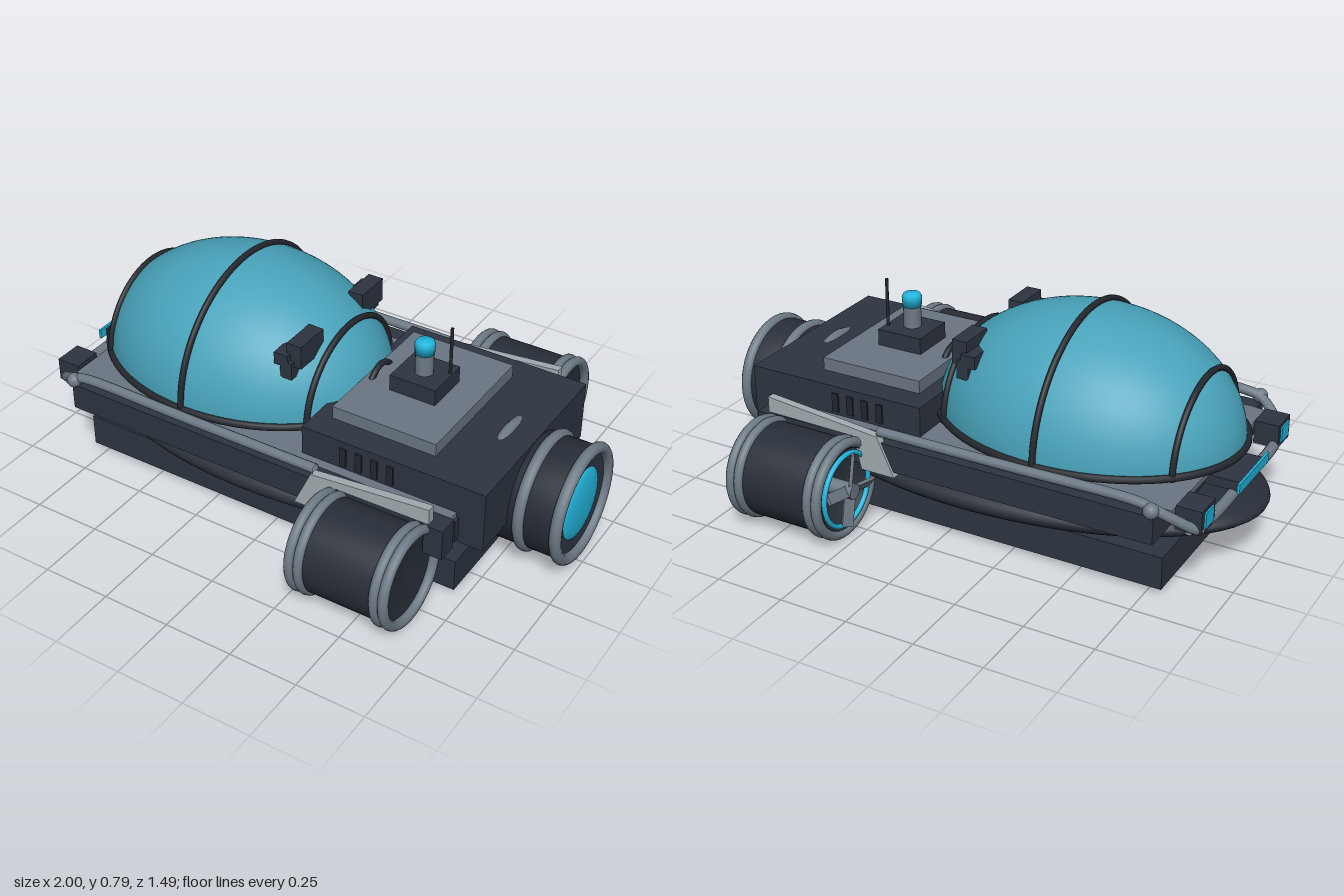
import * as THREE from 'three';

const mat = (name, color) => {
  const m = new THREE.MeshStandardMaterial({ color, side: THREE.DoubleSide });
  m.name = name;
  return m;
};

export function createModel() {
  const root = new THREE.Group();
  const dark = mat('slate', 0x2d3541);
  const hullMat = mat('hull charcoal', 0x282e38);
  const rib = mat('rib black', 0x23272d);
  const grey = mat('plate grey', 0x6a7683);
  const pipe = mat('pipe grey', 0x6d7a85);
  const light = mat('bracket light grey', 0xa3adb1);
  const cyan = mat('lamp cyan', 0x22b5dc);
  const glass = mat('dome teal', 0x48a2ba);

  const add = (name, geo, m, x = 0, y = 0, z = 0, parent = root) => {
    const mesh = new THREE.Mesh(geo, m);
    mesh.name = name;
    mesh.position.set(x, y, z);
    parent.add(mesh);
    return mesh;
  };
  // Box given by its limits on each axis
  const box = (name, m, x0, x1, y0, y1, z0, z1, parent = root) =>
    add(name, new THREE.BoxGeometry(x1 - x0, y1 - y0, Math.abs(z1 - z0)), m,
      (x0 + x1) / 2, (y0 + y1) / 2, (z0 + z1) / 2, parent);
  const tube = (name, m, pts, r, closed = false, seg = 64) =>
    add(name, new THREE.TubeGeometry(new THREE.CatmullRomCurve3(
      pts.map(p => new THREE.Vector3(...p)), closed, 'centripetal'), seg, r, 10, closed), m);
  // Ring and turned body around the x axis
  const ring = (name, m, x, r, t, parent) =>
    add(name, new THREE.TorusGeometry(r, t, 12, 48).rotateY(Math.PI / 2), m, x, 0, 0, parent);
  const turned = (name, m, pts, parent) =>
    add(name, new THREE.LatheGeometry(pts.map(([r, x]) => new THREE.Vector2(r, x)), 48)
      .rotateZ(-Math.PI / 2), m, 0, 0, 0, parent);

  // Hull, keel and deck
  add('hull', new THREE.SphereGeometry(1, 64, 32).scale(0.91, 0.105, 0.47), hullMat, -0.09, 0.19, 0);
  box('keel', dark, -0.8, 0.71, 0.02, 0.14, -0.375, 0.375);
  box('deckBase', dark, -0.8, 0.71, 0.235, 0.32, -0.39, 0.39);
  box('deckPlate', grey, -0.835, 0.7, 0.318, 0.337, -0.4, 0.4);

  // Dome with base ring and hoops
  const cx = -0.35, base = 0.362, rx = 0.55, ry = 0.413, rz = 0.418;
  add('dome', new THREE.SphereGeometry(1, 64, 24, 0, Math.PI * 2, 0, Math.PI / 2)
    .scale(rx, ry, rz), glass, cx, base, 0);
  const loop = [];
  for (let i = 0; i < 32; i++) {
    const a = i / 32 * Math.PI * 2;
    loop.push([cx + (rx + 0.004) * Math.cos(a), base + 0.012, (rz + 0.004) * Math.sin(a)]);
  }
  tube('domeBaseRing', rib, loop, 0.013, true, 96);
  const hoop = (x, h, w) => {
    const pts = [];
    for (let i = 0; i <= 20; i++) {
      const a = i / 20 * Math.PI;
      pts.push([x, base + h * Math.sin(a), w * Math.cos(a)]);
    }
    tube('domeHoop', rib, pts, 0.011);
  };
  for (const x of [-0.775, -0.35, 0.07]) {
    const k = Math.sqrt(1 - ((x - cx) / rx) ** 2);
    hoop(x, ry * k + 0.006, rz * k + 0.006);
  }
  hoop(0.195, 0.155, 0.1);

  // Rear cabin, roof plate and beacon
  box('cabin', dark, 0.11, 0.8, 0.22, 0.445, -0.365, 0.365);
  box('roofPlate', grey, 0.17, 0.565, 0.445, 0.492, -0.27, 0.27);
  box('beaconBase', dark, 0.28, 0.455, 0.49, 0.552, -0.085, 0.085);
  add('beaconStem', new THREE.CylinderGeometry(0.032, 0.032, 0.09, 24), pipe, 0.367, 0.59, 0.005);
  add('beaconLamp', new THREE.LatheGeometry([[0, 0], [0.034, 0], [0.036, 0.035], [0.03, 0.046], [0, 0.052]]
    .map(p => new THREE.Vector2(...p)), 24), cyan, 0.367, 0.63, 0.005);
  add('antenna', new THREE.CylinderGeometry(0.006, 0.006, 0.24, 8), rib, 0.445, 0.61, -0.035);

  // Rear main thruster
  const main = new THREE.Group();
  main.name = 'mainThruster';
  main.position.set(0, 0.243, 0);
  root.add(main);
  turned('mainThrusterBody', hullMat, [[0, 0.68], [0.2, 0.68], [0.2, 0.975]], main);
  turned('mainThrusterEnd', dark, [[0.195, 0.975], [0.17, 0.97], [0, 0.965]], main);
  for (const x of [0.695, 0.84, 0.974]) ring('mainThrusterRing', pipe, x, 0.196, 0.021, main);
  add('mainThrusterLamp', new THREE.SphereGeometry(1, 32, 16).scale(0.022, 0.13, 0.13), cyan, 0.968, 0, 0, main);

  // Light bracket outline in the x-y plane
  const bracket = new THREE.Shape([[0.215, 0.36], [0.66, 0.403], [0.66, 0.345], [0.31, 0.34],
    [0.28, 0.22], [0.15, 0.22]].map(p => new THREE.Vector2(...p)));

  for (const s of [1, -1]) {
    // Side beam, bracket and cabin vents
    box('sideBeam', dark, -0.8, 0.65, 0.235, 0.335, s * 0.385, s * 0.465);
    box('beamEnd', dark, 0.64, 0.71, 0.22, 0.335, s * 0.4, s * 0.473);
    add('sideBracket', new THREE.ExtrudeGeometry(bracket, { depth: 0.03, bevelEnabled: false }),
      light, 0, 0, s * 0.46 - 0.015);
    for (let i = 0; i < 4; i++)
      box('cabinVent', rib, 0.26 + i * 0.06, 0.285 + i * 0.06, 0.35, 0.42, s * 0.36, s * 0.372);

    // Side rail bending down to the front bumper
    tube('sideRail', pipe, [[0.22, 0.37, s * 0.452], [-0.3, 0.37, s * 0.452], [-0.74, 0.37, s * 0.452],
      [-0.8, 0.355, s * 0.45], [-0.9, 0.285, s * 0.385], [-0.92, 0.27, s * 0.36]], 0.018);
    add('railJoint', new THREE.SphereGeometry(0.027, 16, 12), pipe, -0.79, 0.355, s * 0.462);

    // Front lamp
    box('frontLampHousing', dark, -0.93, -0.84, 0.265, 0.35, s * 0.28, s * 0.385);
    box('frontLamp', cyan, -0.936, -0.929, 0.28, 0.337, s * 0.3, s * 0.365);

    // Lamp housings on the dome
    box('domeLamp', dark, -0.015, 0.042, 0.588, 0.675, s * 0.125, s * 0.262);
    box('domeLampArm', dark, -0.055, 0.0, 0.59, 0.635, s * 0.13, s * 0.28);
    box('domeLampFoot', dark, -0.03, 0.015, 0.545, 0.61, s * 0.2, s * 0.28);

    // Side thruster with propeller
    const t = new THREE.Group();
    t.name = 'sideThruster';
    t.position.set(0, 0.183, s * 0.563);
    root.add(t);
    turned('sideThrusterBody', hullMat, [[0, 0.37], [0.145, 0.37], [0.145, 0.285], [0.166, 0.285],
      [0.166, 0.645], [0.155, 0.645], [0.15, 0.635], [0, 0.63]], t);
    for (const x of [0.295, 0.33, 0.612, 0.645]) ring('sideThrusterRing', pipe, x, 0.163, 0.018, t);
    ring('propellerGlowRing', cyan, 0.284, 0.13, 0.009, t);
    add('propellerHub', new THREE.CylinderGeometry(0.028, 0.028, 0.12, 20).rotateZ(Math.PI / 2), pipe, 0.31, 0, 0, t);
    for (let i = 0; i < 4; i++) {
      const blade = new THREE.BoxGeometry(0.012, 0.11, 0.04).rotateY(0.6).translate(0, 0.075, 0)
        .rotateX(i * Math.PI / 2 + 0.2);
      add('propellerBlade', blade, pipe, 0.27, 0, 0, t);
    }
  }

  // Front bumper and nose light
  tube('frontBumper', pipe, [[-0.885, 0.275, -0.385], [-0.91, 0.27, -0.3], [-0.915, 0.27, 0],
    [-0.91, 0.27, 0.3], [-0.885, 0.275, 0.385]], 0.02);
  box('noseLight', cyan, -0.953, -0.944, 0.293, 0.328, -0.13, 0.13);
  box('noseLightMount', dark, -0.944, -0.82, 0.285, 0.32, -0.1, 0.1);

  return root;
}
